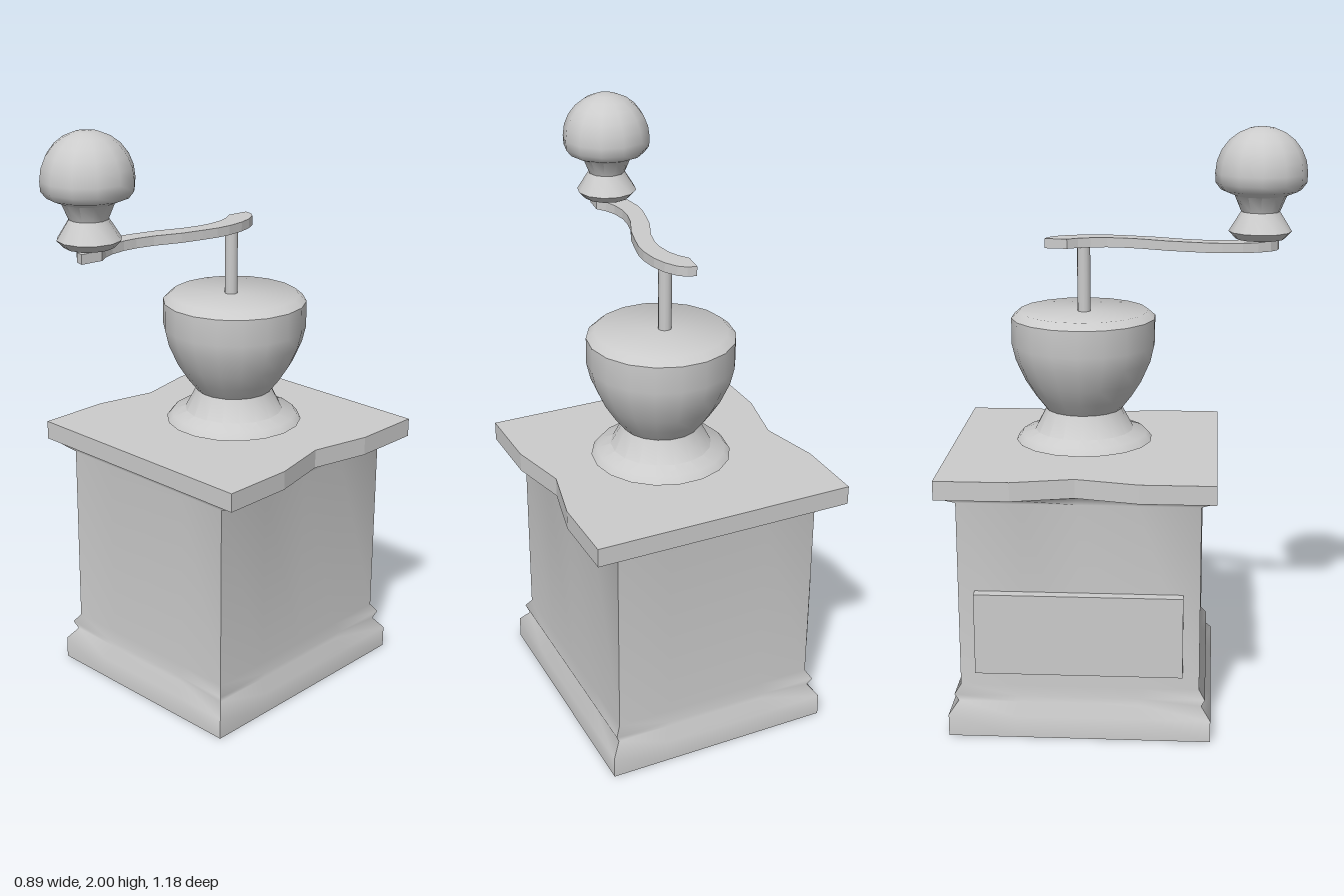
import * as THREE from 'three';
import { mergeGeometries, toCreasedNormals } from 'three/addons/utils/BufferGeometryUtils.js';

const material = new THREE.MeshStandardMaterial({ color: 0xcccccc });
const BODY_Z = -0.134;

function addMesh(group, name, geometry, x = 0, y = 0, z = 0) {
  const mesh = new THREE.Mesh(geometry, material);
  mesh.name = name;
  mesh.position.set(x, y, z);
  group.add(mesh);
  return mesh;
}

const points = (list) => list.map(([x, y]) => new THREE.Vector2(x, y));

// Turned part; the profile runs from bottom to top as [radius, height]
function turned(profile, sides) {
  const geometry = new THREE.LatheGeometry(points(profile), sides);
  geometry.rotateY(Math.PI / 2);
  return toCreasedNormals(geometry, 0.8);
}

// Flat outline in x and z, thickened downwards from y = 0
function plate(outline, thickness) {
  const geometry = new THREE.ExtrudeGeometry(new THREE.Shape(points(outline)), {
    depth: thickness, bevelEnabled: false,
  });
  return geometry.rotateX(Math.PI / 2);
}

// Rectangular moulded box: four smooth walls meeting at sharp corners
// Rows are [half width, half depth, height, pinch of the side walls]
function mouldedBox(rows) {
  const columns = [-1, -0.48, 0, 0.48, 1];
  const walls = [];
  for (let side = 0; side < 4; side++) {
    const position = [];
    const index = [];
    const turn = (side * Math.PI) / 2;
    const c = Math.round(Math.cos(turn));
    const s = Math.round(Math.sin(turn));
    rows.forEach(([w, d, y, pinch], r) => {
      columns.forEach((u, k) => {
        const across = u * (side % 2 ? d : w);
        const out = side % 2 ? w - (u === 0 ? pinch : 0) : d;
        position.push(across * c + out * s, y, out * c - across * s);
        if (r < rows.length - 1 && k < columns.length - 1) {
          const a = r * columns.length + k;
          const b = a + columns.length;
          index.push(a, a + 1, b, a + 1, b + 1, b);
        }
      });
    });
    const wall = new THREE.BufferGeometry();
    wall.setAttribute('position', new THREE.Float32BufferAttribute(position, 3));
    wall.setIndex(index);
    wall.computeVertexNormals();
    walls.push(wall);
  }
  // Underside
  const bottom = new THREE.PlaneGeometry(rows[0][0] * 2, rows[0][1] * 2).rotateX(Math.PI / 2);
  bottom.translate(0, rows[0][2], 0);
  bottom.deleteAttribute('uv');
  return mergeGeometries([...walls, bottom]);
}

export function createModel() {
  const model = new THREE.Group();
  model.name = 'coffeeGrinder';

  // Box with stepped plinth, bead and flared top
  addMesh(model, 'box', mouldedBox([
    [0.39, 0.439, 0, 0],
    [0.39, 0.439, 0.075, 0],
    [0.36, 0.408, 0.115, 0],
    [0.372, 0.42, 0.143, 0],
    [0.353, 0.4, 0.172, 0],
    [0.353, 0.4, 0.815, 0],
    [0.43, 0.443, 0.853, 0.045],
  ]), 0, 0, BODY_Z);

  // Drawer front
  addMesh(model, 'drawer', new THREE.BoxGeometry(0.05, 0.28, 0.69), -0.364, 0.37, BODY_Z);

  // Lid with a shallow notch in each side
  const halfLid = [[0.443, -0.59], [0.443, -0.345], [0.397, -0.14], [0.443, 0.067], [0.443, 0.315]];
  const lid = [...halfLid, ...halfLid.map(([x, z]) => [-x, z]).reverse()];
  addMesh(model, 'lid', plate(lid, 0.064), 0, 0.917, 0);

  // Hopper bowl on its foot
  addMesh(model, 'hopper', turned([
    [0, 0.935], [0.233, 0.935], [0.215, 0.957], [0.168, 0.972], [0.13, 1.045],
    [0.165, 1.09], [0.2, 1.145], [0.231, 1.215], [0.244, 1.27], [0.244, 1.36],
    [0.218, 1.382], [0, 1.382],
  ], 18), 0.019, 0, -0.143);

  // Crank spindle
  addMesh(model, 'spindle', new THREE.CylinderGeometry(0.022, 0.022, 0.24, 12), 0.005, 1.49, -0.14);

  // S-shaped crank arm: one half of the outline, then the same turned by half
  const inner = [[-0.035, 0.05], [-0.019, -0.01], [-0.014, -0.06], [-0.019, -0.115], [-0.033, -0.155], [-0.055, -0.19]];
  const outer = [[-0.045, -0.265], [-0.015, -0.257], [0.01, -0.237], [0.033, -0.195], [0.047, -0.145],
    [0.052, -0.08], [0.047, -0.03], [0.034, 0.025], [0.013, 0.1]];
  const halfArm = [...inner, ...outer];
  const arm = [...halfArm, ...halfArm.map(([x, z]) => [-0.06 - x, 0.24 - z])];
  addMesh(model, 'crankArm', plate(arm, 0.032), 0, 1.632, 0);

  // Knob and its pin
  addMesh(model, 'knobPin', new THREE.CylinderGeometry(0.03, 0.03, 0.03, 12), -0.05, 1.635, 0.441);
  const dome = [];
  for (let i = 0; i <= 6; i++) {
    const a = (i / 6) * (Math.PI / 2);
    dome.push([0.149 * Math.cos(a), 1.851 + 0.149 * Math.sin(a)]);
  }
  dome[6][0] = 0;
  addMesh(model, 'knob', turned([
    [0, 1.638], [0.08, 1.64], [0.103, 1.664], [0.063, 1.728], [0.085, 1.78],
    [0.13, 1.798], [0.147, 1.82], ...dome,
  ], 12), -0.05, 0, 0.441);

  return model;
}
